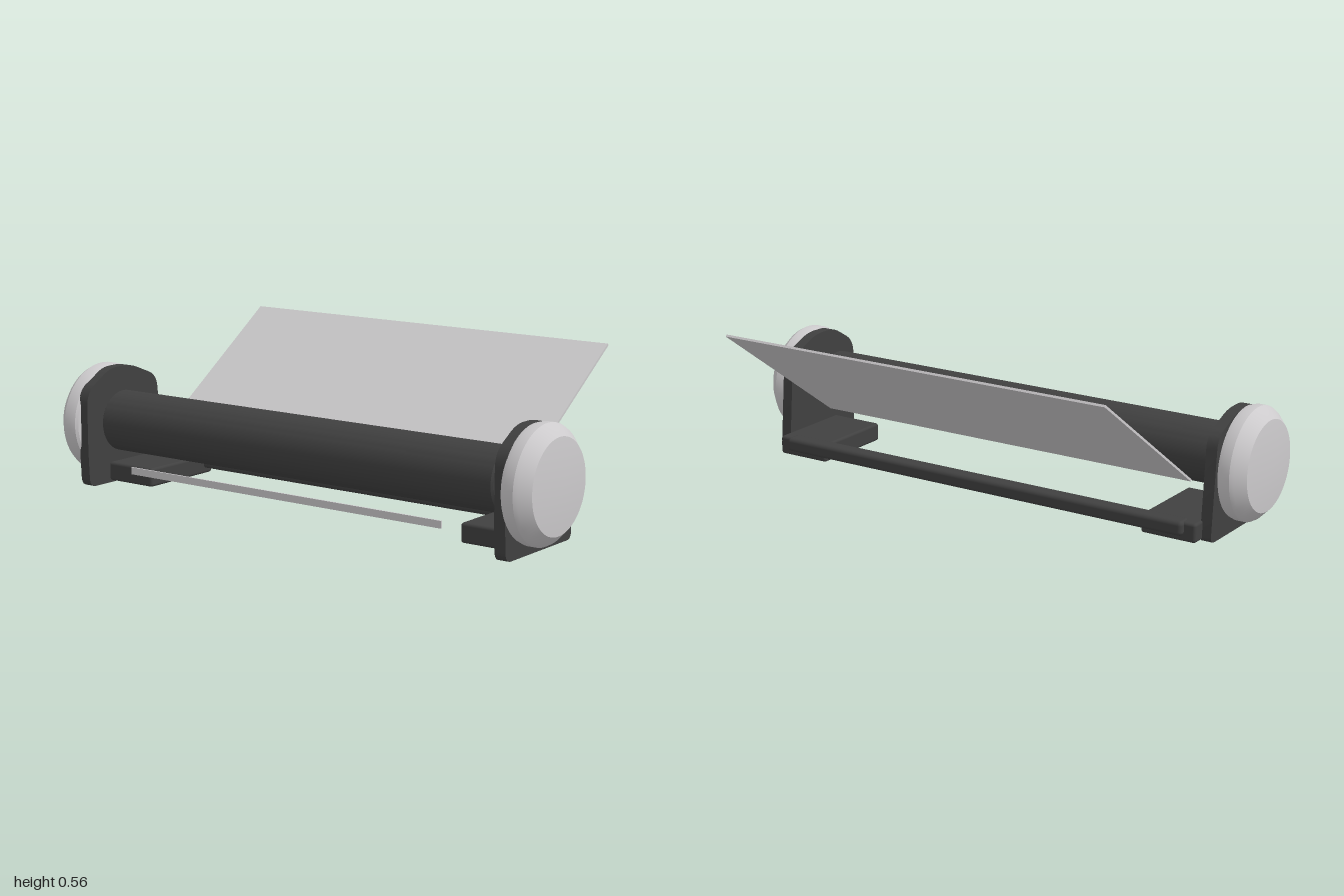
import * as THREE from 'three';
import { RoundedBoxGeometry } from 'three/addons/geometries/RoundedBoxGeometry.js';
import { toCreasedNormals } from 'three/addons/utils/BufferGeometryUtils.js';

const dark = new THREE.MeshStandardMaterial({ color: 0x404040 });
dark.name = 'dark rubber and frame';
const light = new THREE.MeshStandardMaterial({ color: 0xcccacc });
light.name = 'pale metal';

// Centre of the knobs, roller and side plates
const AXIS_Y = 0.228, KNOB_Z = 0.242, ROLLER_Z = 0.265;

function add(parent, name, geometry, material, x = 0, y = 0, z = 0) {
  const mesh = new THREE.Mesh(geometry, material);
  mesh.name = name;
  mesh.position.set(x, y, z);
  parent.add(mesh);
  return mesh;
}

// Turned solid around the x axis, from [radius, x] pairs running towards +x
function turned(profile, segments = 64) {
  const g = new THREE.LatheGeometry(profile.map(([r, x]) => new THREE.Vector2(r, x)), segments);
  g.rotateZ(-Math.PI / 2);
  return toCreasedNormals(g, 0.35);
}

// Closed outline with every corner rounded, from [x, y, radius] triples
function roundedShape(corners) {
  const shape = new THREE.Shape();
  const n = corners.length;
  corners.forEach(([x, y, r], i) => {
    const c = new THREE.Vector2(x, y);
    const towards = ([px, py]) => new THREE.Vector2(px, py).sub(c).setLength(r).add(c);
    const a = towards(corners[(i + n - 1) % n]);
    const b = towards(corners[(i + 1) % n]);
    if (i === 0) shape.moveTo(a.x, a.y); else shape.lineTo(a.x, a.y);
    shape.quadraticCurveTo(x, y, b.x, b.y);
  });
  shape.closePath();
  return shape;
}

// Side plate outline in z, y
function plateGeometry() {
  const shape = roundedShape([
    [0.016, 0.002, 0.028], [0.404, 0.002, 0.032], [0.41, 0.13, 0.03], [0.41, 0.345, 0.05],
    [0.29, 0.417, 0.04], [0.185, 0.417, 0.04], [0.045, 0.36, 0.045],
  ]);
  const g = new THREE.ExtrudeGeometry(shape, { depth: 0.04, bevelEnabled: false, curveSegments: 8 });
  g.translate(0, 0, -0.02);
  g.rotateY(-Math.PI / 2);
  return toCreasedNormals(g, 0.5);
}

export function createModel() {
  const model = new THREE.Group();
  model.name = 'rollerCarriage';

  // Roller with softened rims and a hub at each end
  add(model, 'roller', turned([
    [0, -0.835], [0.065, -0.835], [0.065, -0.824], [0.101, -0.824], [0.108, -0.817],
    [0.108, 0.817], [0.101, 0.824], [0.065, 0.824], [0.065, 0.835], [0, 0.835],
  ]), dark, 0, AXIS_Y + 0.002, ROLLER_Z);

  const plate = plateGeometry();
  const knob = turned([
    [0, 0.885], [0.183, 0.888], [0.192, 0.895], [0.197, 0.912], [0.197, 0.94],
    [0.19, 0.953], [0.158, 0.985], [0, 1.0],
  ], 80);
  const axle = turned([[0, 0.8], [0.023, 0.8], [0.023, 0.89], [0, 0.89]], 32);

  // Side assemblies, mirrored by a half turn where the part is symmetric
  for (const side of [1, -1]) {
    const group = new THREE.Group();
    group.name = side > 0 ? 'leftSide' : 'rightSide';
    model.add(group);
    const turn = side > 0 ? 0 : Math.PI;
    add(group, 'sidePlate', plate, dark, side * 0.876);
    add(group, 'knob', knob, light, 0, AXIS_Y - 0.002, KNOB_Z).rotation.y = turn;
    add(group, 'axle', axle, light, 0, AXIS_Y - 0.004, 0.248).rotation.y = turn;
    add(group, 'foot', new RoundedBoxGeometry(0.205, 0.067, 0.328, 3, 0.01), dark,
      side * 0.76, 0.043, 0.136);
  }

  // Rear cross bar
  add(model, 'rearBar', new RoundedBoxGeometry(1.64, 0.05, 0.064, 3, 0.014), dark, 0, 0.055, -0.015);

  // Sloping sheet rest behind the roller
  const rest = add(model, 'sheetRest', new THREE.BoxGeometry(1.51, 0.008, 0.698), light, 0, 0.363, -0.151);
  rest.rotation.x = 0.61;

  // Thin strip in front of the roller
  add(model, 'frontStrip', new THREE.BoxGeometry(1.31, 0.025, 0.006), light, 0, 0.089, 0.402);

  return model;
}
